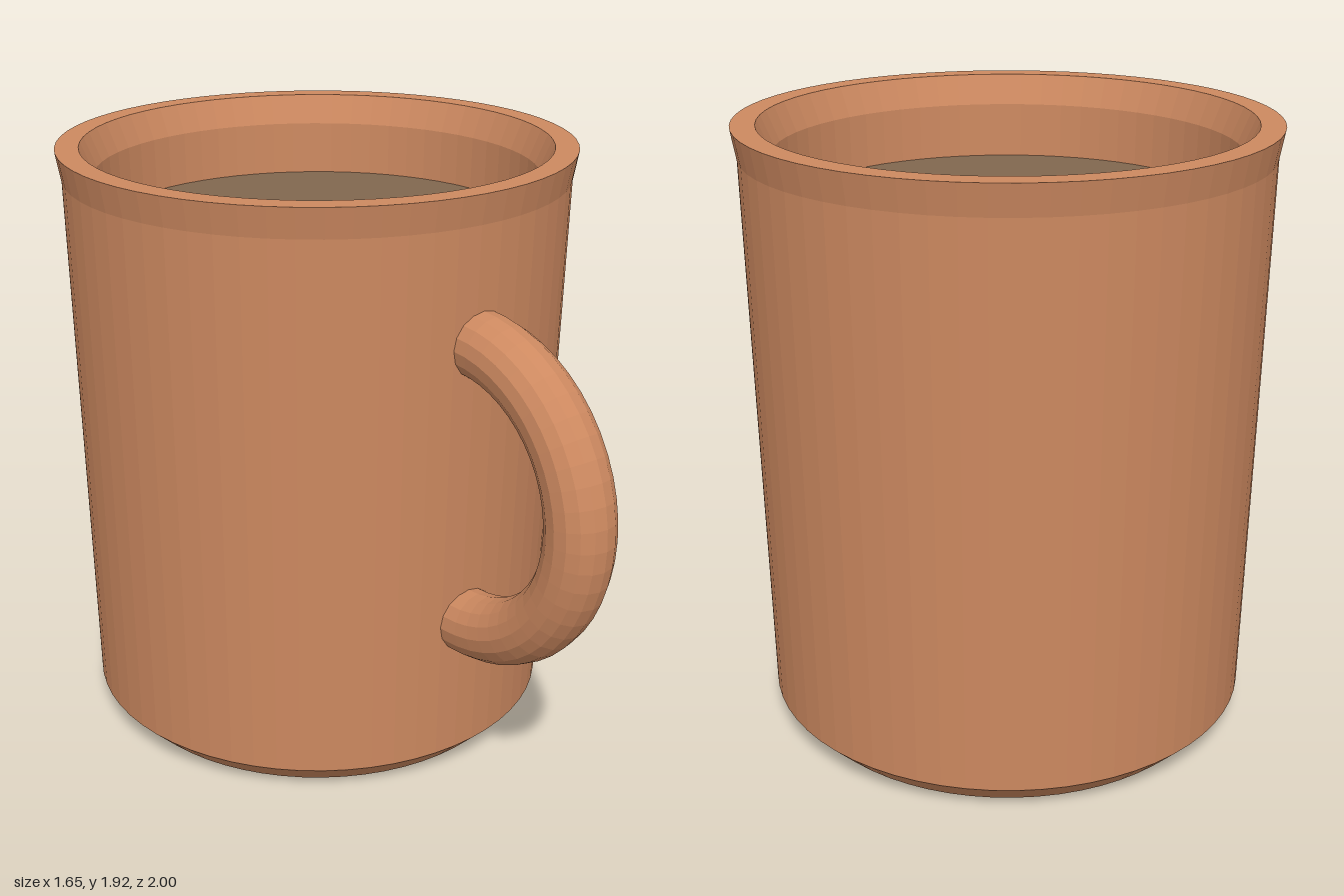
import * as THREE from 'three';

const SEGMENTS = 64;
const AXIS_Z = -0.175; // the cup sits behind centre to balance the handle

const clay = new THREE.MeshStandardMaterial({ color: 0xcd8960, flatShading: true });
clay.name = 'clay';
const drink = new THREE.MeshStandardMaterial({ color: 0x81674f });
drink.name = 'drink';

function addMesh(parent, name, geometry, material) {
  const mesh = new THREE.Mesh(geometry, material);
  mesh.name = name;
  parent.add(mesh);
  return mesh;
}

export function createModel() {
  const model = new THREE.Group();
  model.name = 'mug';
  const cup = new THREE.Group();
  cup.name = 'cup';
  cup.position.z = AXIS_Z;
  model.add(cup);

  // Hollow body: bevelled foot, tapered wall, flared lip, inner wall and floor
  const profile = [
    [0, 0], [0.69, 0], [0.77, 0.08], [0.808, 1.83], [0.825, 1.925],
    [0.75, 1.925], [0.71, 1.83], [0.67, 0.12], [0, 0.12],
  ].map(([r, y]) => new THREE.Vector2(r, y));
  addMesh(cup, 'body', new THREE.LatheGeometry(profile, SEGMENTS), clay);

  // Surface of the drink
  const liquid = addMesh(cup, 'liquid', new THREE.CircleGeometry(0.705, SEGMENTS), drink);
  liquid.rotation.x = -Math.PI / 2;
  liquid.position.y = 1.655;

  // Half-ring handle, its ends buried in the wall, turned 30 degrees to the left
  const overlap = 0.1;
  const ring = new THREE.TorusGeometry(0.46, 0.105, 16, 28, Math.PI + 2 * overlap);
  ring.rotateZ(-Math.PI / 2 - overlap);
  ring.translate(0.775, 1.005, 0);
  const handle = addMesh(cup, 'handle', ring, clay);
  handle.rotation.y = -Math.PI / 3;

  return model;
}
